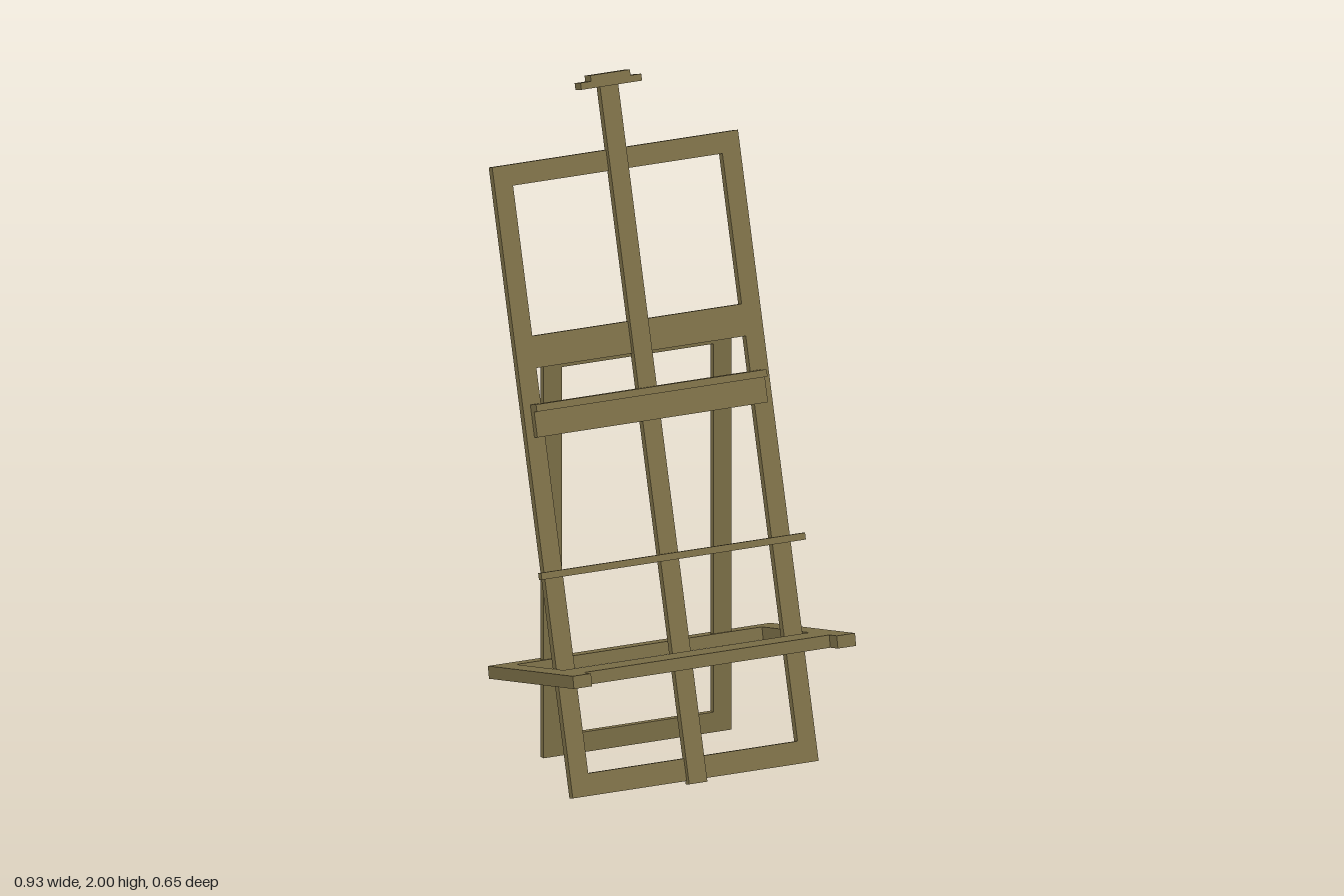
import * as THREE from 'three';

const wood = new THREE.MeshStandardMaterial({ color: 0x7d7048 });

// Box given by its min/max extents on each axis
function bar(parent, name, [x0, x1], [y0, y1], [z0, z1]) {
  const mesh = new THREE.Mesh(new THREE.BoxGeometry(x1 - x0, y1 - y0, z1 - z0), wood);
  mesh.position.set((x0 + x1) / 2, (y0 + y1) / 2, (z0 + z1) / 2);
  mesh.name = name;
  parent.add(mesh);
}

// The same box on both sides of x = 0
function pair(parent, name, [x0, x1], y, z) {
  bar(parent, name + 'Left', [x0, x1], y, z);
  bar(parent, name + 'Right', [-x1, -x0], y, z);
}

function tilted(parent, name, degrees, y, z) {
  const group = new THREE.Group();
  group.name = name;
  group.position.set(0, y, z);
  group.rotation.x = THREE.MathUtils.degToRad(degrees);
  parent.add(group);
  return group;
}

export function createModel() {
  const model = new THREE.Group();
  model.name = 'easel';

  // Main frame, leaning back
  const lean = tilted(model, 'leaningFrame', -15, 0, 0.2155);
  const depth = [-0.021, 0];
  pair(lean, 'frameStile', [0.345, 0.405], [0.013, 1.843], depth);
  const rails = { bottomRail: [0.013, 0.078], middleRail: [1.253, 1.346], topRail: [1.782, 1.843] };
  for (const [name, y] of Object.entries(rails)) bar(lean, name, [-0.345, 0.345], y, depth);

  // Central mast with its stepped cap
  bar(lean, 'mast', [-0.03, 0.03], [0.003, 2.03], [-0.008, 0.013]);
  bar(lean, 'capLower', [-0.1, 0.1], [2.026, 2.046], [-0.007, 0.029]);
  bar(lean, 'capUpper', [-0.065, 0.065], [2.046, 2.063], [-0.007, 0.029]);

  // Canvas holder and thin rod
  bar(lean, 'holderBoard', [-0.38, 0.38], [1.056, 1.13], [0, 0.018]);
  bar(lean, 'holderLedge', [-0.38, 0.38], [1.13, 1.151], [-0.004, 0.035]);
  bar(lean, 'rod', [-0.435, 0.435], [0.65, 0.67], [0.02, 0.038]);

  // Sloping tray: two arms, wide front shelf, back rail
  const tray = tilted(model, 'tray', -10.5, 0.3475, 0.0725);
  const thick = [-0.0185, 0.0185];
  pair(tray, 'trayArm', [0.405, 0.465], thick, [-0.2535, 0.2535]);
  bar(tray, 'trayShelf', [-0.405, 0.405], thick, [0.089, 0.208]);
  bar(tray, 'trayBackRail', [-0.405, 0.405], thick, [-0.2535, -0.193]);

  // Upright support frame at the back
  const back = [-0.147, -0.129];
  pair(model, 'supportLeg', [0.25, 0.31], [0.035, 1.255], back);
  bar(model, 'supportBottomRail', [-0.25, 0.25], [0.035, 0.095], back);
  bar(model, 'supportTopRail', [-0.25, 0.25], [1.195, 1.255], back);

  return model;
}
